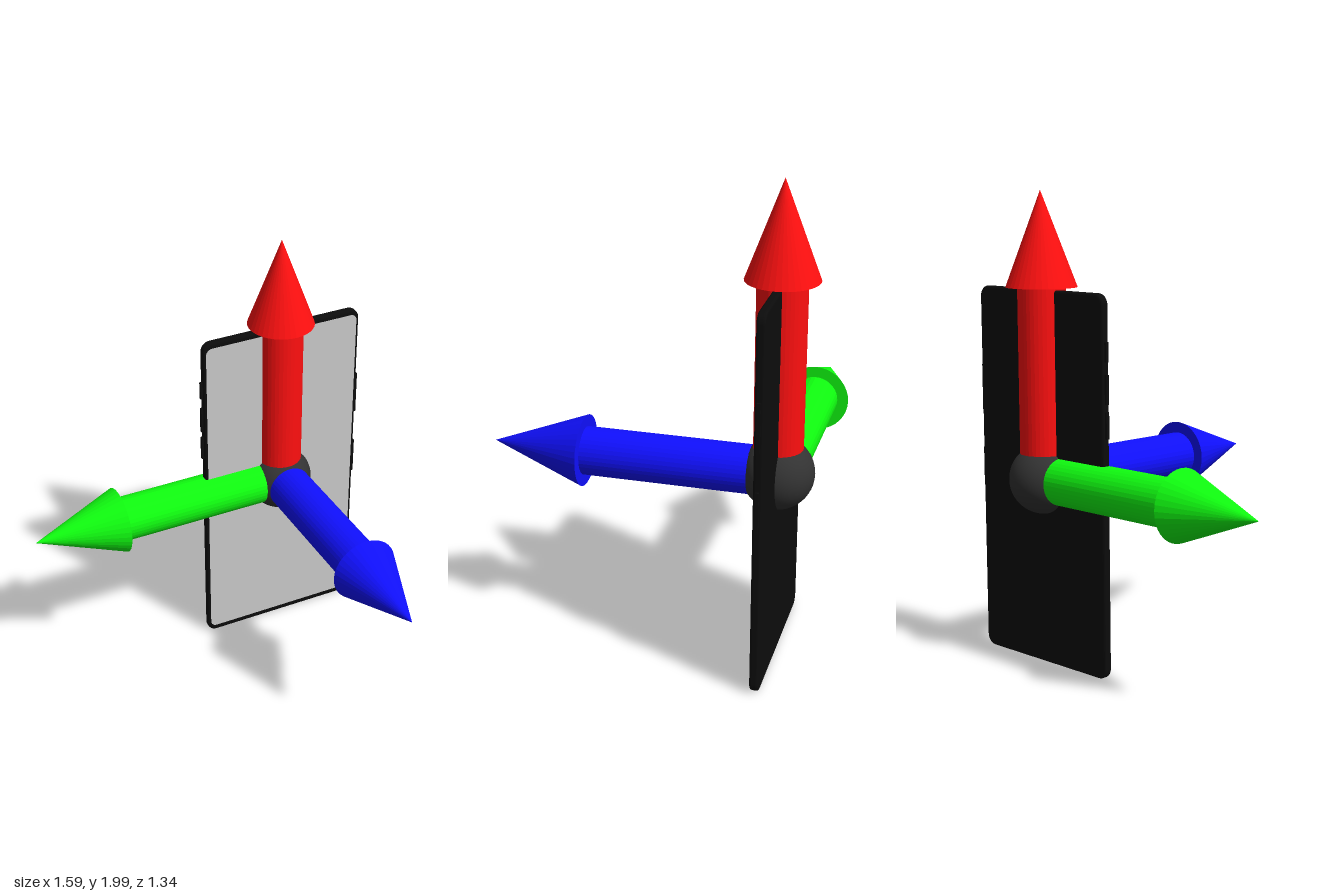
import * as THREE from 'three';

const CX = 0.4, CY = 0.8, CZ = -0.525;

const paint = (color, flatShading = false) => {
  const m = new THREE.MeshStandardMaterial({ flatShading });
  m.color.set(color);
  return m;
};

function add(parent, name, geometry, material, x = 0, y = 0, z = 0) {
  const mesh = new THREE.Mesh(geometry, material);
  mesh.name = name;
  mesh.position.set(x, y, z);
  parent.add(mesh);
  return mesh;
}

function roundedRect(w, h, r) {
  const s = new THREE.Shape(), x = w / 2, y = h / 2;
  s.moveTo(-x + r, -y);
  s.lineTo(x - r, -y);
  s.absarc(x - r, -y + r, r, -Math.PI / 2, 0);
  s.lineTo(x, y - r);
  s.absarc(x - r, y - r, r, 0, Math.PI / 2);
  s.lineTo(-x + r, y);
  s.absarc(-x + r, y - r, r, Math.PI / 2, Math.PI);
  s.lineTo(-x, -y + r);
  s.absarc(-x + r, -y + r, r, Math.PI, Math.PI * 1.5);
  return s;
}

// Arrow pointing up +y from its own origin
function arrow(name, color) {
  const g = new THREE.Group();
  g.name = name;
  const m = paint(color, true);
  add(g, name + 'Shaft', new THREE.CylinderGeometry(0.1, 0.1, 0.8, 36), m, 0, 0.4);
  add(g, name + 'Head', new THREE.ConeGeometry(0.148, 0.395, 36), m, 0, 0.9975);
  return g;
}

export function createModel() {
  const model = new THREE.Group();
  const root = new THREE.Group();
  root.name = 'phoneWithAxes';
  root.position.set(CX, CY, CZ);
  model.add(root);

  // Phone body: slim slab with softened edges
  const black = paint(0x0c0c0c);
  const bevel = 0.01, thick = 0.036;
  const body = new THREE.ExtrudeGeometry(roundedRect(0.764 - 2 * bevel, 1.582 - 2 * bevel, 0.035), {
    depth: thick - 2 * bevel, bevelSize: bevel, bevelThickness: bevel, bevelSegments: 3, curveSegments: 8,
  });
  body.translate(0, 0, -thick / 2 + bevel);
  add(root, 'phoneBody', body, black);

  // Screen on the front face
  add(root, 'screen', new THREE.ShapeGeometry(roundedRect(0.738, 1.53, 0.03), 8),
    paint(0xcccccc), 0, 0.002, thick / 2 + 0.001);

  // Side buttons: [side, bottom, top]
  const buttons = [[-1, 1.32, 1.4], [-1, 1.15, 1.27], [-1, 1.01, 1.12], [1, 1.05, 1.25], [1, 0.72, 0.89]];
  for (const [side, y0, y1] of buttons) {
    add(root, 'sideButton', new THREE.BoxGeometry(0.02, y1 - y0, 0.014), black,
      side * 0.382, (y0 + y1) / 2 - CY);
  }

  // Ball at the origin of the three arrows
  add(root, 'originBall', new THREE.SphereGeometry(0.148, 32, 24), paint(0x333333));

  const up = arrow('upArrow', 0xff1010);
  const side = arrow('sideArrow', 0x10ff10);
  side.rotation.z = Math.PI / 2;
  const front = arrow('frontArrow', 0x1010ff);
  front.rotation.x = Math.PI / 2;
  root.add(up, side, front);

  return model;
}
